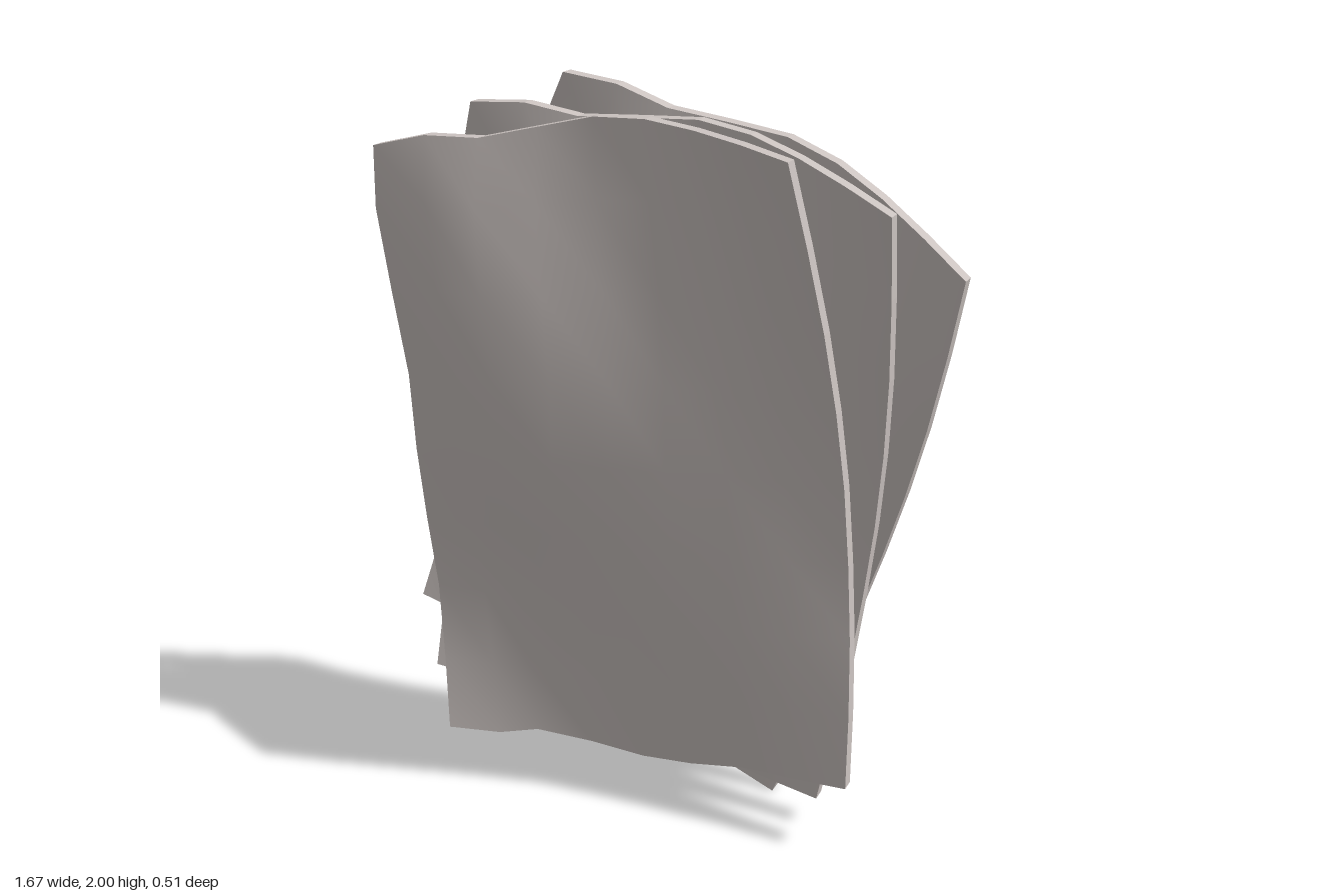
import * as THREE from 'three';

const N = 8; // cells along each side of a sheet
const CENTRE = new THREE.Vector2(-0.07, 0.995);

// Edges of one sheet: left and right run downwards, top and bottom run left to right
const curve = (...pts) => new THREE.SplineCurve(pts.map(([x, y]) => new THREE.Vector2(x, y).sub(CENTRE)));
const left = curve([-0.72, 1.81], [-0.733, 1.57], [-0.69, 1.25], [-0.69, 0.95], [-0.68, 0.66], [-0.645, 0.375], [-0.61, 0.09]);
const right = curve([0.45, 1.88], [0.503, 1.6], [0.54, 1.32], [0.565, 1.04], [0.585, 0.76], [0.602, 0.48], [0.61, 0.2]);
const top = curve([-0.72, 1.81], [-0.56, 1.845], [-0.4, 1.843], [-0.22, 1.895], [-0.05, 1.918], [0.115, 1.908], [0.285, 1.898], [0.45, 1.88]);
const bottom = curve([-0.61, 0.09], [-0.435, 0.097], [-0.31, 0.12], [-0.1, 0.1], [0.06, 0.1], [0.26, 0.15], [0.435, 0.175], [0.61, 0.2]);

// Depth of the wavy front surface, rows from the top down
const depth = [
  [0.155, 0.1, 0.06, 0.11, 0.255],
  [0.12, 0.15, 0.09, 0.1, 0.17],
  [0.075, 0.125, 0.115, 0.1, 0.09],
  [0.036, 0.055, 0.07, 0.1, 0.078],
  [0.1, 0.045, 0.02, 0.055, 0.108],
];
const spline = (values, t) => new THREE.SplineCurve(values.map((v, i) => new THREE.Vector2(i, v))).getPoint(t).y;

// Point on the front face: blend the four edges, then add the waves
function surfacePoint(u, v) {
  const l = left.getPoint(v), r = right.getPoint(v), t = top.getPoint(u), b = bottom.getPoint(u);
  const mix = (k) => {
    const lerp = THREE.MathUtils.lerp;
    const corners = lerp(lerp(left.points[0][k], right.points[0][k], u), lerp(left.points.at(-1)[k], right.points.at(-1)[k], u), v);
    return lerp(l[k], r[k], u) + lerp(t[k], b[k], v) - corners;
  };
  return [mix('x'), mix('y'), spline(depth.map((row) => spline(row, u)), v)];
}

function sheetGeometry(thickness) {
  const positions = [], index = [];
  const quad = (a, b, c, d) => index.push(a, b, c, a, c, d);
  const W = N + 1;

  // Front and back faces
  for (const offset of [0, thickness]) {
    for (let i = 0; i <= N; i++) {
      for (let j = 0; j <= N; j++) {
        const [x, y, z] = surfacePoint(j / N, i / N);
        positions.push(x, y, z - offset);
      }
    }
  }
  for (let i = 0; i < N; i++) {
    for (let j = 0; j < N; j++) {
      const a = i * W + j, b = a + W, s = W * W;
      quad(a, b, b + 1, a + 1);
      quad(s + a + 1, s + b + 1, s + b, s + a);
    }
  }

  // Sharp rim, walked counter-clockwise from the top left corner
  const rim = [];
  for (let k = 0; k < N; k++) rim.push(k * W);
  for (let k = 0; k < N; k++) rim.push(N * W + k);
  for (let k = N; k > 0; k--) rim.push(k * W + N);
  for (let k = N; k > 0; k--) rim.push(k);
  rim.forEach((p, k) => {
    const q = rim[(k + 1) % rim.length], start = positions.length / 3;
    for (const n of [p, p + W * W, q + W * W, q]) positions.push(...positions.slice(n * 3, n * 3 + 3));
    quad(start, start + 1, start + 2, start + 3);
  });

  const geometry = new THREE.BufferGeometry();
  geometry.setAttribute('position', new THREE.Float32BufferAttribute(positions, 3));
  geometry.setIndex(index);
  geometry.computeVertexNormals();
  return geometry;
}

export function createModel() {
  const model = new THREE.Group();
  model.name = 'sheetStack';
  const paper = new THREE.MeshStandardMaterial({ color: 0xcbc3c0 });
  paper.name = 'warmGrey';
  const geometry = sheetGeometry(0.04);

  // Three sheets fanned out behind each other, each turned and slightly tilted
  const names = ['frontSheet', 'middleSheet', 'backSheet'];
  const shift = [-0.07, -0.01, 0.015];
  names.forEach((name, i) => {
    const sheet = new THREE.Mesh(geometry, paper);
    sheet.name = name;
    sheet.position.set(shift[i], CENTRE.y, -0.105 * i);
    sheet.rotation.set(0.008 * i, -0.015 * i, -0.2 * i);
    model.add(sheet);
  });
  return model;
}
